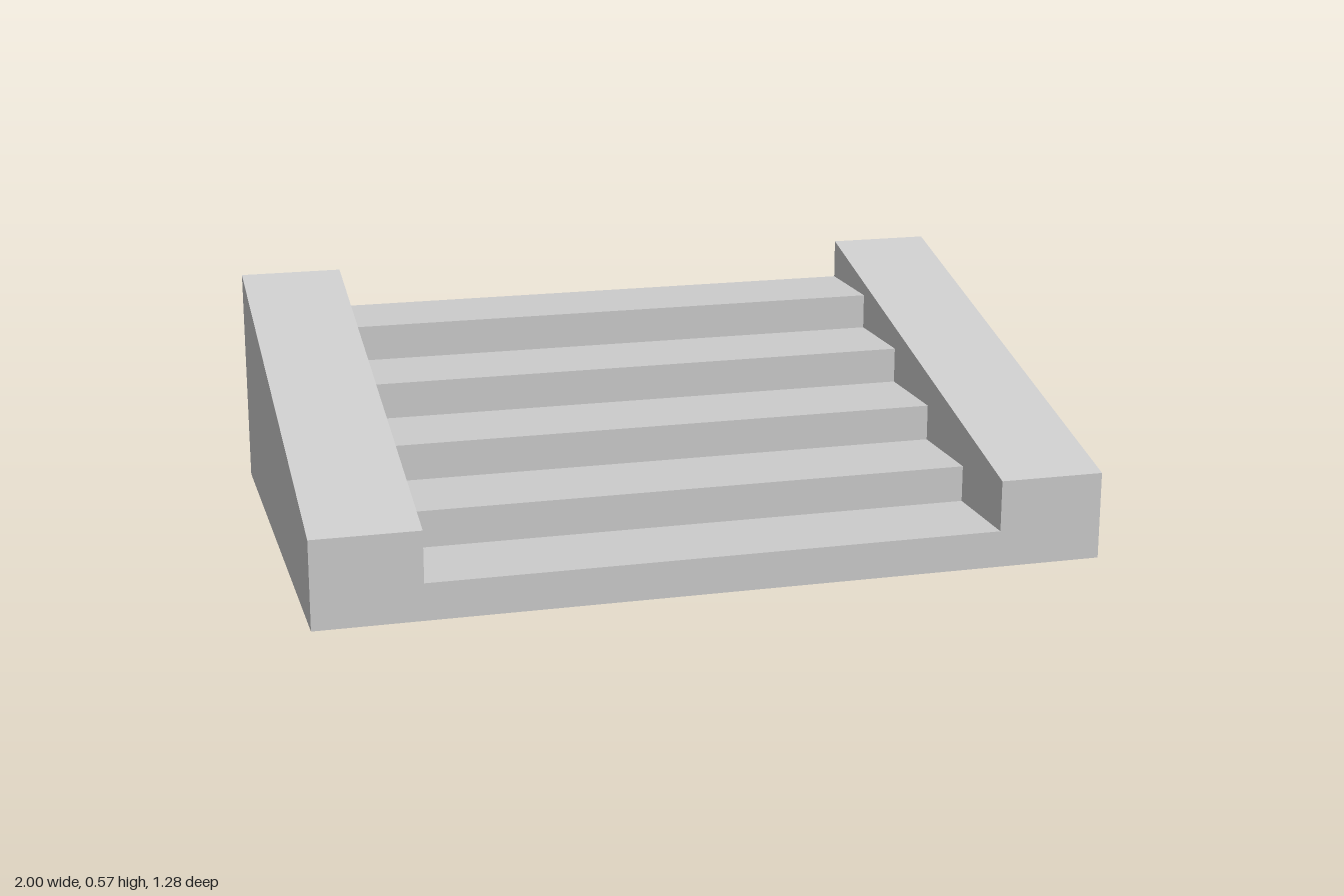
import * as THREE from 'three';

const HALF_DEPTH = 0.64, HALF_WIDTH = 1, STAIR_HALF = 0.73;
const STEPS = 5, RISE = 0.094, RUN = (2 * HALF_DEPTH) / STEPS;

// Extrudes a side profile of [z, y] points across x, centred on the given x
function profileMesh(name, points, width, x, material) {
  const shape = new THREE.Shape(points.map(([z, y]) => new THREE.Vector2(z, y)));
  const geometry = new THREE.ExtrudeGeometry(shape, { depth: width, bevelEnabled: false });
  geometry.translate(0, 0, -width / 2).rotateY(-Math.PI / 2);
  const mesh = new THREE.Mesh(geometry, material);
  mesh.name = name;
  mesh.position.x = x;
  return mesh;
}

export function createModel() {
  const group = new THREE.Group();
  group.name = 'staircase';
  const material = new THREE.MeshStandardMaterial({ color: 0xcccccc, flatShading: true });

  // Flight of steps rising from the front to the back
  const steps = [[-HALF_DEPTH, 0], [HALF_DEPTH, 0]];
  for (let i = 0; i < STEPS; i++) {
    const y = RISE * (i + 1);
    steps.push([HALF_DEPTH - i * RUN, y], [HALF_DEPTH - (i + 1) * RUN, y]);
  }
  group.add(profileMesh('steps', steps, 2 * STAIR_HALF, 0, material));

  // Sloping side walls
  const wall = [[-HALF_DEPTH, 0], [HALF_DEPTH, 0], [HALF_DEPTH, 0.225], [-HALF_DEPTH, 0.575]];
  for (const side of [-1, 1]) {
    group.add(profileMesh(side > 0 ? 'leftWall' : 'rightWall', wall, HALF_WIDTH - STAIR_HALF,
      side * (HALF_WIDTH + STAIR_HALF) / 2, material));
  }
  return group;
}
